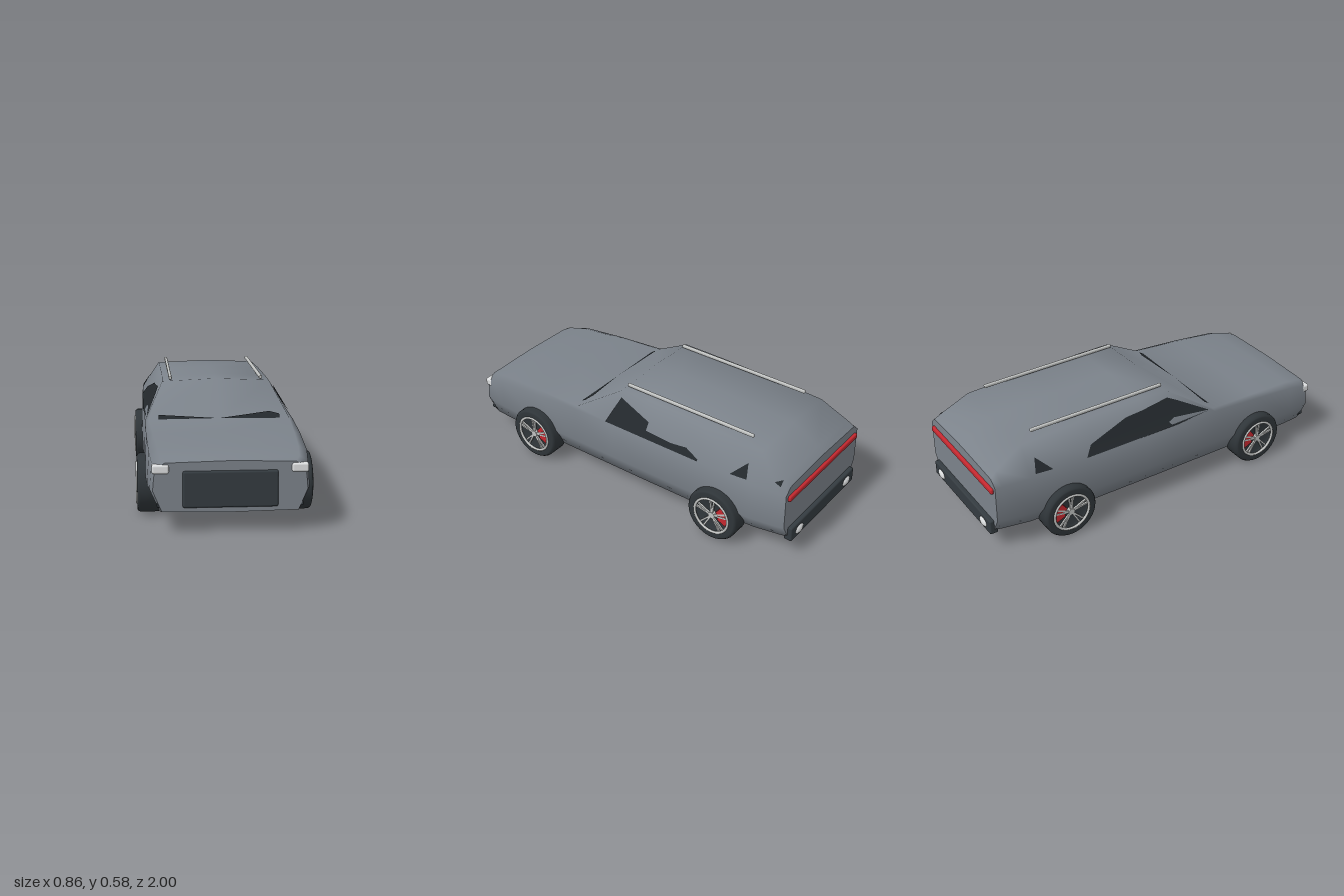
import * as THREE from 'three';
import { RoundedBoxGeometry } from 'three/addons/geometries/RoundedBoxGeometry.js';

const material = (name, color, side = THREE.FrontSide) => {
  const m = new THREE.MeshStandardMaterial({ color, side });
  m.name = name;
  return m;
};

// Body stations, nose to tail:
// z, floor y, floor half width, waist half width, shoulder x, shoulder y, roof edge x, roof edge y, centre y
const STATIONS = [
  [0.985, 0.095, 0.315, 0.357, 0.347, 0.305, 0.30, 0.33, 0.337],
  [0.95, 0.09, 0.325, 0.37, 0.36, 0.325, 0.32, 0.346, 0.352],
  [0.85, 0.088, 0.33, 0.38, 0.37, 0.352, 0.33, 0.37, 0.377],
  [0.6, 0.086, 0.335, 0.388, 0.378, 0.375, 0.345, 0.387, 0.392],
  [0.32, 0.086, 0.335, 0.388, 0.38, 0.395, 0.36, 0.403, 0.406],
  [0.07, 0.086, 0.335, 0.388, 0.38, 0.40, 0.283, 0.56, 0.572],
  [-0.1, 0.086, 0.335, 0.388, 0.38, 0.40, 0.28, 0.562, 0.575],
  [-0.4, 0.088, 0.335, 0.388, 0.38, 0.40, 0.28, 0.557, 0.569],
  [-0.78, 0.1, 0.33, 0.385, 0.377, 0.40, 0.28, 0.54, 0.552],
  [-0.93, 0.108, 0.31, 0.36, 0.358, 0.40, 0.30, 0.458, 0.468],
  [-0.965, 0.113, 0.305, 0.35, 0.35, 0.395, 0.31, 0.43, 0.44],
];

// Full section outline, counter-clockwise seen from the front
function section([, fy, fw, ww, sx, sy, tx, ty, cy]) {
  const half = [[fw, fy + 0.006], [ww, 0.2], [sx, sy], [tx, ty]];
  const mirrored = half.map(([x, y]) => [-x, y]).reverse();
  return [[0, fy], ...half, [0, cy], ...mirrored];
}

function bodyGeometry() {
  const pos = [], index = [], n = 10;
  for (const s of STATIONS) for (const [x, y] of section(s)) pos.push(x, y, s[0]);
  for (let j = 0; j < STATIONS.length - 1; j++) {
    for (let k = 0; k < n; k++) {
      const a = j * n + k, b = j * n + (k + 1) % n, c = a + n, d = b + n;
      index.push(a, c, b, b, c, d);
    }
  }
  const g = new THREE.BufferGeometry();
  g.setAttribute('position', new THREE.Float32BufferAttribute(pos, 3));
  g.setIndex(index);
  g.computeVertexNormals();
  return g;
}

const capGeometry = (station) =>
  new THREE.ShapeGeometry(new THREE.Shape(section(station).map(([x, y]) => new THREE.Vector2(x, y))));

// Half width of the cabin side at a given z and y
function cabinX(z, y) {
  let i = 0;
  while (i < STATIONS.length - 2 && STATIONS[i + 1][0] > z) i++;
  const a = STATIONS[i], b = STATIONS[i + 1], t = (a[0] - z) / (a[0] - b[0]);
  const [sx, sy, tx, ty] = [4, 5, 6, 7].map((k) => a[k] + (b[k] - a[k]) * t);
  return sx + (tx - sx) * Math.min(1, (y - sy) / (ty - sy));
}

// Thin glass on the cabin side, outlined in z and y
function sideGlass(points, side) {
  const g = new THREE.ShapeGeometry(new THREE.Shape(points.map((p) => new THREE.Vector2(...p))));
  const p = g.attributes.position;
  for (let i = 0; i < p.count; i++) {
    const z = p.getX(i), y = p.getY(i);
    p.setXYZ(i, side * (cabinX(z, y) + 0.005), y + 0.002, z);
  }
  g.computeVertexNormals();
  return g;
}

// Thin glass on the windscreen, outlined in x and y
function screenGlass(points) {
  const g = new THREE.ShapeGeometry(new THREE.Shape(points.map((p) => new THREE.Vector2(...p))));
  const p = g.attributes.position;
  for (let i = 0; i < p.count; i++) {
    const x = p.getX(i), y = p.getY(i);
    const rise = 0.156 + 0.01 * (1 - Math.abs(x) / 0.3);
    p.setXYZ(i, x, y + 0.003, 0.326 - 0.25 * (y - 0.405) / rise);
  }
  g.computeVertexNormals();
  return g;
}

export function createModel() {
  const paint = material('grey paint', 0x7b828a);
  const glass = material('dark glass', 0x23282c, THREE.DoubleSide);
  const trim = material('dark trim', 0x343b40);
  const rubber = material('tyre rubber', 0x2f3539);
  const metal = material('light metal', 0xbfc1c0);
  const lamp = material('lamp white', 0xdcdedf);
  const red = material('red', 0xc4282f);

  const model = new THREE.Group();
  model.name = 'estateCar';
  const add = (name, geometry, mat, x = 0, y = 0, z = 0, parent = model) => {
    const mesh = new THREE.Mesh(geometry, mat);
    mesh.name = name;
    mesh.position.set(x, y, z);
    parent.add(mesh);
    return mesh;
  };

  // Body shell and its flat ends
  add('body', bodyGeometry(), paint);
  add('nosePanel', capGeometry(STATIONS[0]), paint, 0, 0, STATIONS[0][0]);
  add('tailPanel', capGeometry(STATIONS.at(-1)), paint, 0, 0, STATIONS.at(-1)[0]).rotation.y = Math.PI;

  // Windows
  add('leftWindow', sideGlass([[0.11, 0.402], [0.06, 0.53], [-0.14, 0.475], [-0.14, 0.437],
    [-0.3, 0.43], [-0.39, 0.438], [-0.47, 0.41], [-0.47, 0.402]], 1), glass);
  add('rightWindow', sideGlass([[0.29, 0.408], [0.12, 0.5], [0.06, 0.53], [-0.1, 0.513], [-0.2, 0.508],
    [-0.43, 0.45], [-0.47, 0.402], [0.07, 0.402]], -1), glass);
  for (const side of [1, -1]) {
    add('quarterWindow', sideGlass([[-0.66, 0.408], [-0.735, 0.478], [-0.755, 0.413]], side), glass);
  }
  add('rearCornerGlass', sideGlass([[-0.89, 0.438], [-0.925, 0.452], [-0.925, 0.425]], 1), glass);
  add('windscreenLeft', screenGlass([[0, 0.404], [0.31, 0.402], [0.31, 0.419], [0.26, 0.43]]), glass);
  add('windscreenRight', screenGlass([[0, 0.404], [-0.31, 0.402], [-0.31, 0.42]]), glass);

  // Front and rear details
  add('grille', new RoundedBoxGeometry(0.44, 0.172, 0.03, 3, 0.01), trim, 0, 0.205, 0.982);
  add('rearBumper', new RoundedBoxGeometry(0.62, 0.08, 0.045, 3, 0.008), trim, 0, 0.138, -0.966);
  add('tailLamp', new RoundedBoxGeometry(0.66, 0.03, 0.025, 3, 0.008), red, 0, 0.367, -0.967);
  const exhaustShape = new THREE.SphereGeometry(1, 20, 12).scale(0.04, 0.027, 0.02);
  for (const side of [1, -1]) {
    add('headlight', new RoundedBoxGeometry(0.078, 0.042, 0.05, 3, 0.01), lamp, side * 0.321, 0.301, 0.97);
    add('lowerVent', new RoundedBoxGeometry(0.026, 0.02, 0.04, 2, 0.005), trim, side * 0.325, 0.13, 0.964);
    add('exhaust', exhaustShape, lamp, side * 0.235, 0.135, -0.98);
    // Roof rail
    add('roofRail', new RoundedBoxGeometry(0.016, 0.018, 0.77, 3, 0.006), metal, side * 0.24, 0.575, -0.32);
  }

  // Wheels, built facing +x
  const w = 0.0575;
  const tyreProfile = [[0, -w], [0.13, -w], [0.138, -w + 0.003], [0.145, -w + 0.014], [0.145, w - 0.014],
    [0.138, w - 0.003], [0.13, w], [0.104, w], [0.1, w - 0.002], [0.098, w - 0.028], [0, w - 0.028]];
  const tyre = new THREE.LatheGeometry(tyreProfile.map((p) => new THREE.Vector2(...p)), 36).rotateZ(-Math.PI / 2);
  const rim = new THREE.TorusGeometry(0.099, 0.007, 10, 36).rotateY(Math.PI / 2);
  const hub = new THREE.CylinderGeometry(0.018, 0.022, 0.02, 20).rotateZ(-Math.PI / 2);
  const spoke = new THREE.BoxGeometry(0.01, 0.085, 0.009).translate(0, 0.056, 0);
  const arc = new THREE.Shape();
  arc.absarc(0, 0, 0.092, -0.4, 0.9, false);
  arc.absarc(0, 0, 0.036, 0.9, -0.4, true);
  const caliper = new THREE.ExtrudeGeometry(arc, { depth: 0.02, bevelEnabled: false, curveSegments: 10 });

  for (const side of [1, -1]) {
    for (const z of [0.59, -0.59]) {
      const wheel = new THREE.Group();
      wheel.name = z > 0 ? 'frontWheel' : 'rearWheel';
      wheel.position.set(side * 0.3675, 0.145, z);
      if (side < 0) wheel.rotation.y = Math.PI;
      model.add(wheel);
      add('tyre', tyre, rubber, 0, 0, 0, wheel);
      add('rim', rim, metal, w - 0.001, 0, 0, wheel);
      add('hub', hub, metal, w - 0.012, 0, 0, wheel);
      for (let i = 0; i < 5; i++) {
        for (const lean of [-1, 1]) {
          const arm = add('spoke', spoke, metal, w - 0.009, 0, 0, wheel);
          arm.rotation.x = i * Math.PI * 0.4 + lean * 0.13;
        }
      }
      // Caliper sits towards the rear of the car
      const brake = add('caliper', caliper, red, side > 0 ? w - 0.026 : w - 0.006, 0, 0, wheel);
      brake.rotation.y = side * Math.PI / 2;
    }
  }
  return model;
}
